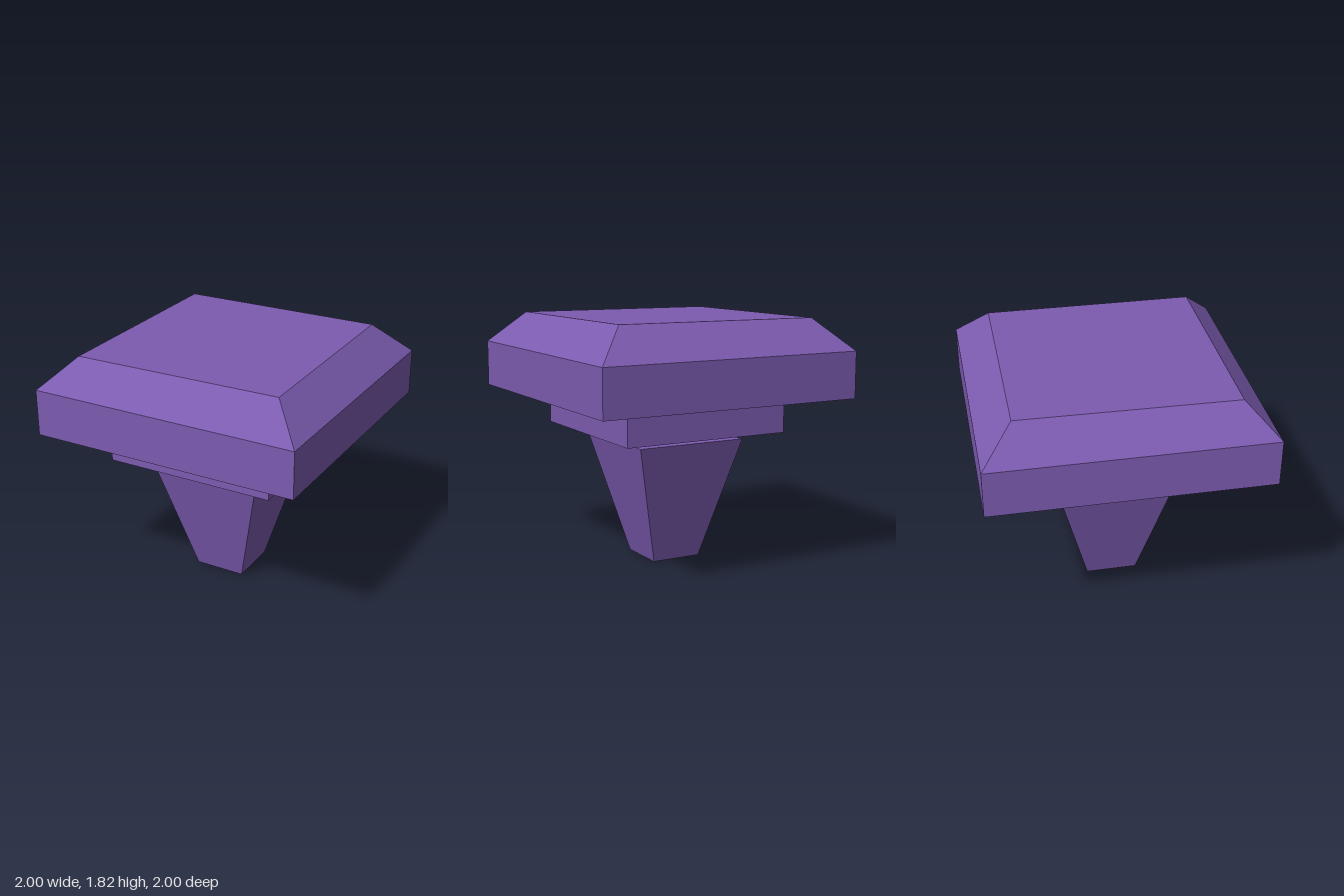
import * as THREE from 'three';

const purple = new THREE.MeshStandardMaterial({ color: 0x7c5bb0 });
purple.name = 'purple';

// Square solid from a bottom-to-top profile of [half width, height]
function squareSolid(name, profile, adjust) {
  const points = profile.map(([half, y]) => new THREE.Vector2(half * Math.SQRT2, y));
  const geometry = new THREE.LatheGeometry(points, 4, Math.PI / 4).toNonIndexed();
  if (adjust) adjust(geometry.attributes.position);
  geometry.computeVertexNormals();
  const mesh = new THREE.Mesh(geometry, purple);
  mesh.name = name;
  return mesh;
}

// Tilt the top face slightly, keeping the chamfers at 45 degrees
function tiltTop(pos) {
  for (let i = 0; i < pos.count; i++) {
    if (pos.getY(i) < 1.7) continue;
    const x = pos.getX(i), z = pos.getZ(i);
    const y = 1.81 + 0.0065 * (x - z);
    const scale = (2.58 - y) / 0.77;
    pos.setXYZ(i, x * scale, y, z * scale);
  }
}

export function createModel() {
  const group = new THREE.Group();
  group.name = 'pedestal';
  group.add(
    // Tapered foot, pinched to a narrow neck under the collar
    squareSolid('stem', [[0, 0], [0.19, 0], [0.425, 0.91], [0.22, 0.962], [0.37, 0.975]]),
    squareSolid('collar', [[0, 0.972], [0.64, 0.972], [0.64, 1.24]]),
    // Wide slab with chamfered upper edges
    squareSolid('cap', [[0, 1.24], [1, 1.24], [1, 1.58], [0.77, 1.81], [0, 1.81]], tiltTop),
  );
  return group;
}
